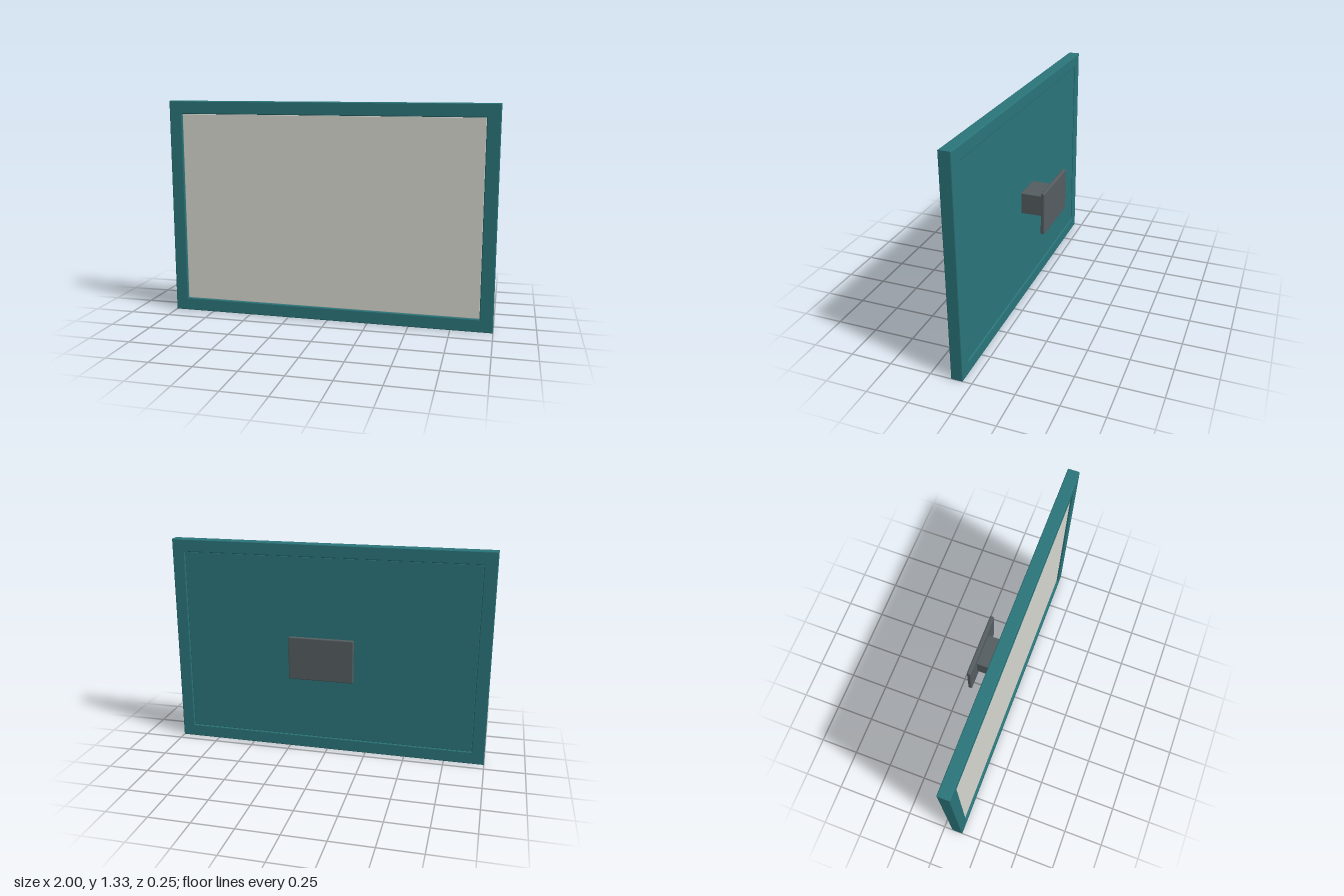
import * as THREE from 'three';
import { RoundedBoxGeometry } from 'three/addons/geometries/RoundedBoxGeometry.js';

const W = 2, H = 1.333, CY = H / 2;
const FRONT = 0.125, BACK = 0.053;   // frame depth range
const OPEN_W = 1.84, OPEN_H = 1.175; // opening of the frame

const teal = new THREE.MeshStandardMaterial({ color: 0x2a757a });
const pale = new THREE.MeshStandardMaterial({ color: 0xd6d7cf });
const dark = new THREE.MeshStandardMaterial({ color: 0x555d60 });

// Corners of a centred rectangle
function rect(w, h) {
  return [[-1, -1], [1, -1], [1, 1], [-1, 1]].map(([x, y]) => new THREE.Vector2(x * w / 2, y * h / 2));
}

// Softly rounded box spanning z0..z1, centred on x = 0 and the panel's middle height
function slab(name, w, h, z0, z1, radius, material) {
  const mesh = new THREE.Mesh(new RoundedBoxGeometry(w, h, z1 - z0, 2, radius), material);
  mesh.position.set(0, CY, (z0 + z1) / 2);
  mesh.name = name;
  return mesh;
}

export function createModel() {
  const model = new THREE.Group();
  model.name = 'wallPanel';

  // Bevelled border with a rectangular opening
  const bevel = 0.005;
  const outline = new THREE.Shape(rect(W, H));
  outline.holes.push(new THREE.Path(rect(OPEN_W, OPEN_H).reverse()));
  const frame = new THREE.Mesh(new THREE.ExtrudeGeometry(outline, {
    depth: FRONT - BACK - 2 * bevel,
    bevelThickness: bevel, bevelSize: bevel, bevelOffset: -bevel, bevelSegments: 2,
  }), teal);
  frame.position.set(0, CY, BACK + bevel);
  frame.name = 'frame';
  model.add(frame);

  // Recessed front sheet and back cover
  model.add(slab('screen', OPEN_W, OPEN_H, 0.09, 0.112, 0.003, pale));
  model.add(slab('backCover', OPEN_W, OPEN_H, 0.06, 0.09, 0.003, teal));

  // Wall mount
  model.add(slab('mountBlock', 0.2, 0.132, -0.104, 0.063, 0.004, dark));
  model.add(slab('mountPlate', 0.4, 0.266, -0.125, -0.1, 0.007, dark));

  return model;
}
